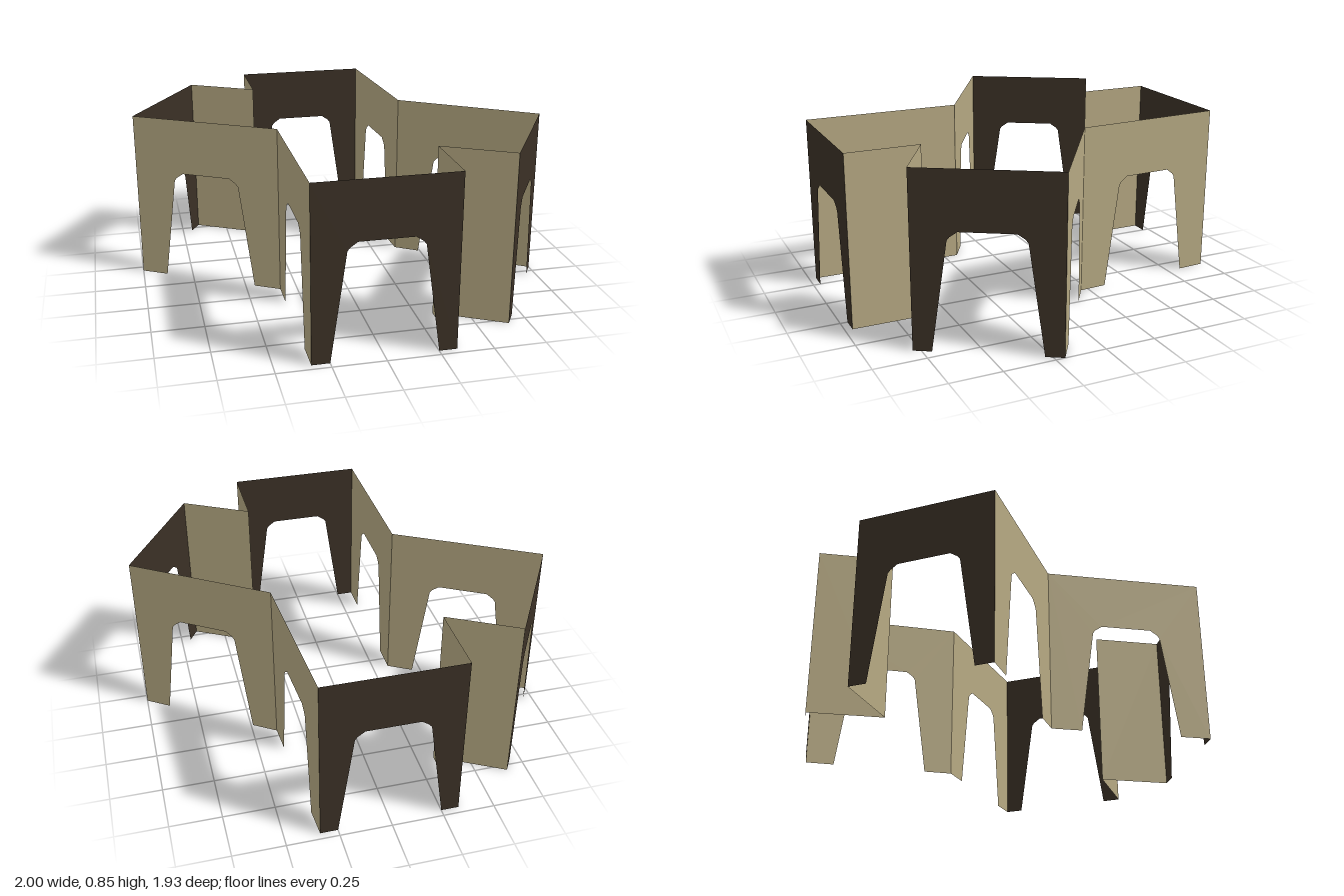
import * as THREE from 'three';

const HEIGHT = 0.845;

// Upright sheet of the given length, optionally with an arched opening cut up from the floor
function panelShape(length, opening) {
  const m = length / 2;
  const s = new THREE.Shape();
  s.moveTo(0, 0);
  if (opening > 0) {
    const half = [[0.25, 0], [0.175, 0.525], [0.163, 0.541], [0.128, 0.565]];
    half.forEach(([x, y]) => s.lineTo(m - x * opening, y));
    half.slice().reverse().forEach(([x, y]) => s.lineTo(m + x * opening, y));
  }
  s.lineTo(length, 0);
  s.lineTo(length, HEIGHT);
  s.lineTo(0, HEIGHT);
  s.closePath();
  return s;
}

export function createModel() {
  const group = new THREE.Group();
  group.name = 'foldedScreen';

  const tan = new THREE.MeshStandardMaterial({ color: 0xb5a882, side: THREE.DoubleSide });
  tan.name = 'tan';
  const darkBrown = new THREE.MeshStandardMaterial({ color: 0x3a3025, side: THREE.DoubleSide });
  darkBrown.name = 'dark brown';

  // Fold lines in plan: x, z, then the panel that starts there (name, opening scale, material)
  const folds = [
    [-0.335, 0.965, 'frontArch', 1, darkBrown],
    [0.335, 0.965, 'frontFoldPanel', 0, tan],
    [0.335, 0.605, 'frontFoldPanel', 0, tan],
    [0.655, 0.785, 'frontLeftArch', 1, darkBrown],
    [1, 0.205, 'leftRecessArch', 0.96, tan],
    [0.38, -0.21, 'leftRecessArch', 0.95, tan],
    [0.335, -0.965, 'backArch', 1, darkBrown],
    [-0.335, -0.965, 'backFoldPanel', 0, tan],
    [-0.335, -0.605, 'backFoldPanel', 0, tan],
    [-0.655, -0.785, 'backRightArch', 1, darkBrown],
    [-1, -0.205, 'rightRecessArch', 0.98, tan],
    [-0.335, 0.178, 'rightRecessArch', 0.98, tan],
  ];

  // Each panel spans from its fold line to the next, closing the ring
  folds.forEach(([x, z, name, opening, material], i) => {
    const [nx, nz] = folds[(i + 1) % folds.length];
    const length = Math.hypot(nx - x, nz - z);
    const mesh = new THREE.Mesh(new THREE.ShapeGeometry(panelShape(length, opening)), material);
    mesh.name = name;
    mesh.position.set(x, 0, z);
    mesh.rotation.y = Math.atan2(z - nz, nx - x);
    group.add(mesh);
  });

  return group;
}
